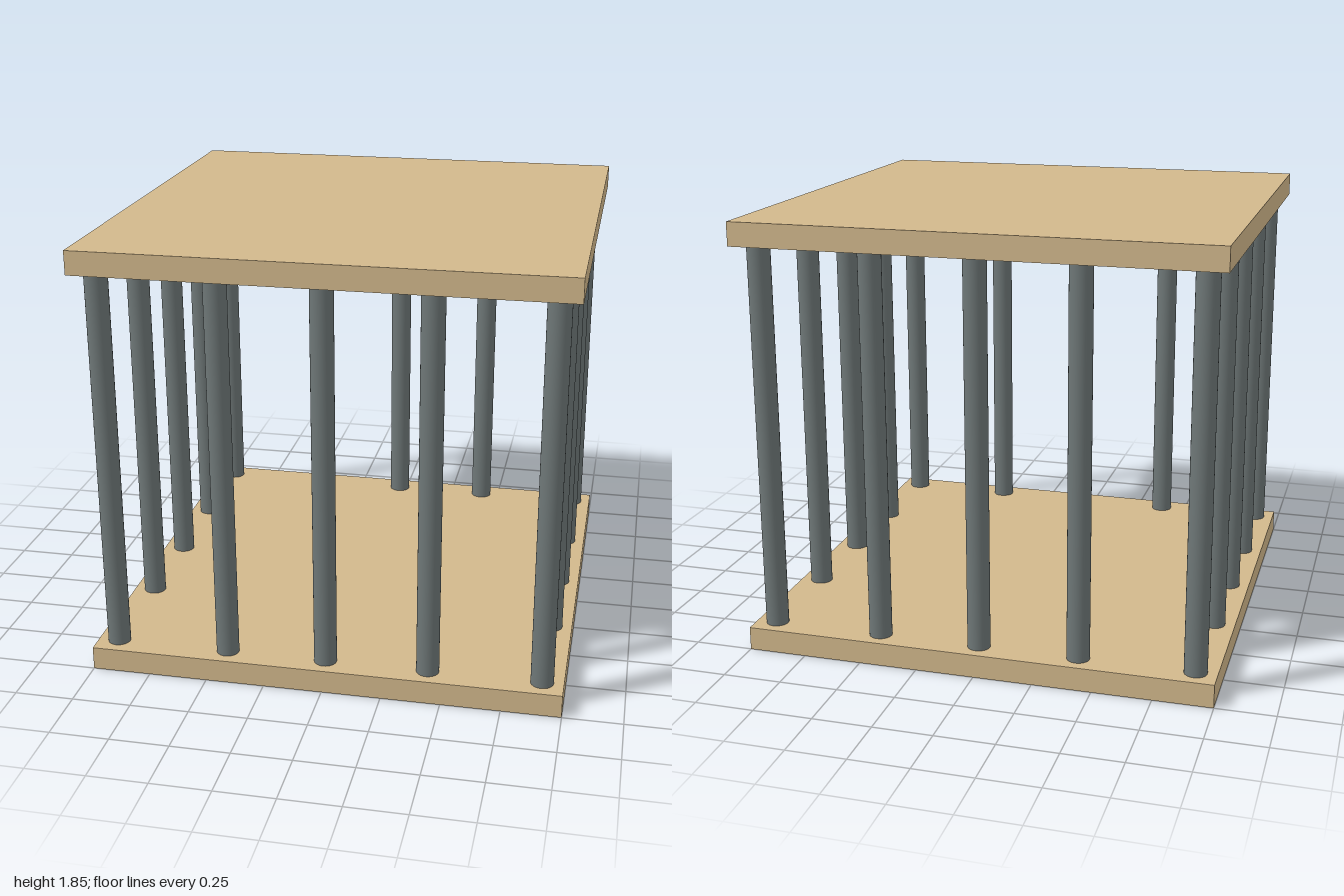
import * as THREE from 'three';

const HEIGHT = 1.85, PLATE = 0.1, RADIUS = 0.048;

export function createModel() {
  const model = new THREE.Group();
  model.name = 'cage';
  const wood = new THREE.MeshStandardMaterial({ color: 0xd2b88c });
  const metal = new THREE.MeshStandardMaterial({ color: 0x6e7777 });

  // Square floor and roof boards
  const boardGeometry = new THREE.BoxGeometry(2, PLATE, 2);
  const addBoard = (name, y) => {
    const board = new THREE.Mesh(boardGeometry, wood);
    board.name = name;
    board.position.y = y;
    model.add(board);
  };
  addBoard('floorBoard', PLATE / 2);
  addBoard('roofBoard', HEIGHT - PLATE / 2);

  // Round bars around the perimeter, five to a side sharing the corners
  const bars = new THREE.Group();
  bars.name = 'bars';
  const barGeometry = new THREE.CylinderGeometry(RADIUS, RADIUS, HEIGHT - 2 * PLATE, 32);
  const xs = [-0.91, -0.425, 0, 0.435, 0.91];
  const zs = [-0.91, -0.435, 0, 0.435, 0.91];
  xs.forEach((x, i) => zs.forEach((z, j) => {
    if (i % 4 !== 0 && j % 4 !== 0) return;
    const bar = new THREE.Mesh(barGeometry, metal);
    bar.name = i % 4 === 0 && j % 4 === 0 ? 'cornerBar' : 'sideBar';
    bar.position.set(x, HEIGHT / 2, z);
    bars.add(bar);
  }));
  model.add(bars);

  return model;
}
